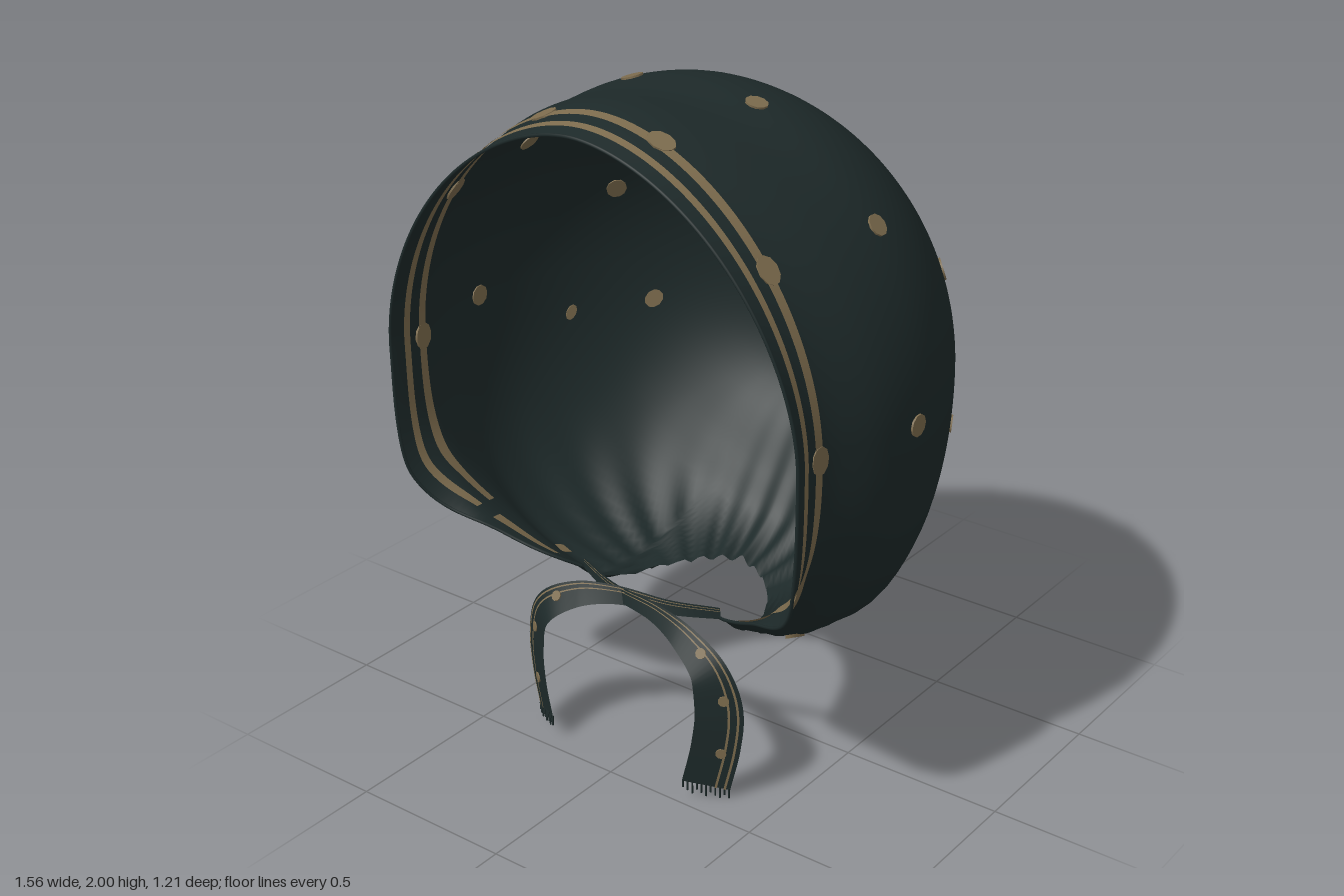
import * as THREE from 'three';

const CY = 1.2, BACK = -0.605, DEG = Math.PI / 180;

// Smooth curve through [position, value] pairs
function curve(pts) {
  const slope = i => {
    const a = pts[Math.max(0, i - 1)], b = pts[Math.min(pts.length - 1, i + 1)];
    return (b[1] - a[1]) / (b[0] - a[0]);
  };
  return v => {
    if (v <= pts[0][0]) return pts[0][1];
    if (v >= pts[pts.length - 1][0]) return pts[pts.length - 1][1];
    let i = 0;
    while (v > pts[i + 1][0]) i++;
    const h = pts[i + 1][0] - pts[i][0], t = (v - pts[i][0]) / h, s = t * t * (3 - 2 * t);
    return pts[i][1] * (1 - s) + pts[i + 1][1] * s
      + h * (slope(i) * t * (1 - t) ** 2 - slope(i + 1) * t * t * (1 - t));
  };
}

// Cross-section sizes along z, relative to a rounded back
const topSize = curve([[-0.6, 0.8], [-0.1, 0.81], [0.05, 0.8], [0.2, 0.783], [0.4, 0.8], [0.5, 0.787], [0.6, 0.757]]);
const sideSize = curve([[-0.6, 0.77], [0, 0.78], [0.2, 0.772], [0.3, 0.753], [0.4, 0.712], [0.46, 0.692], [0.54, 0.692], [0.6, 0.708]]);
const bottomSize = curve([[-0.6, 0.95], [-0.55, 0.84], [-0.46, 0.77], [-0.36, 0.81], [-0.28, 0.85], [-0.08, 0.84], [0.1, 0.81], [0.2, 0.79], [0.32, 0.7], [0.45, 0.67], [0.57, 0.75]]);
const squareness = curve([[-0.5, 2], [-0.2, 2.3], [0.1, 2.7], [0.45, 2.6], [0.57, 3.5]]);
// z of the cloth edge by angle from straight down: neck hole, sloped cheek, face opening
const edgeZ = curve([[0, -0.15], [8, -0.1], [14, 0], [18, 0.15], [20.5, 0.31], [40, 0.45], [58, 0.562], [66, 0.582], [90, 0.588], [180, 0.605]]);
const edge = a => edgeZ(Math.abs(a) / DEG);

// Point on the bonnet cloth; a = angle from straight down around the z axis
function surface(a, z) {
  const base = Math.sqrt(Math.max(0, 1 - ((Math.min(z, 0.17) - 0.17) / 0.775) ** 2));
  const s = Math.abs(Math.sin(a)), c = Math.cos(a), low = c > 0;
  const p = low ? squareness(z) : 2 - 0.5 * Math.max(0, z - 0.2);
  const h = low ? bottomSize(z) : topSize(z);
  let r = base * ((s / sideSize(z)) ** p + (Math.abs(c) / h) ** p) ** (-1 / p);
  // gathers fanning out from the neck hole
  const reach = low ? Math.max(0, 1 - Math.hypot(z - 0.08, 0.77 * s) / 0.7) : 0;
  r *= 1 + 0.018 * reach * Math.cos(22 * Math.atan2(z - 0.08, 0.77 * s));
  return new THREE.Vector3(r * Math.sin(a), CY - r * c, z);
}

function normalAt(a, z) {
  const da = surface(a + 0.02, z).sub(surface(a - 0.02, z));
  const dz = surface(a, z + 0.01).sub(surface(a, z - 0.01));
  return da.cross(dz).normalize();
}

// Open sheet from rows of points
function sheet(rows) {
  const n = rows[0].length, index = [];
  for (let i = 0; i < rows.length - 1; i++)
    for (let j = 0; j < n - 1; j++) {
      const k = i * n + j;
      index.push(k, k + n, k + 1, k + 1, k + n, k + n + 1);
    }
  const g = new THREE.BufferGeometry().setFromPoints(rows.flat());
  g.setIndex(index);
  g.computeVertexNormals();
  return g;
}

function shellGeometry() {
  const N = 240, M = 50, pts = [], index = [];
  for (let i = 0; i < M; i++)
    for (let j = 0; j < N; j++) {
      const u = 2 * j / N - 1, a = Math.sign(u) * Math.PI * Math.abs(u) ** 1.3, e = edge(a);
      pts.push(surface(a, e + (BACK - e) * Math.sin(i / M * Math.PI / 2)));
    }
  const pole = pts.push(new THREE.Vector3(0, CY, BACK)) - 1;
  for (let i = 0; i < M; i++)
    for (let j = 0; j < N; j++) {
      const a = i * N + j, b = i * N + (j + 1) % N;
      if (i === M - 1) index.push(a, b, pole);
      else index.push(a, b, a + N, b, b + N, a + N);
    }
  const g = new THREE.BufferGeometry().setFromPoints(pts);
  g.setIndex(index);
  g.computeVertexNormals();
  return g;
}

export function createModel() {
  const model = new THREE.Group();
  const cloth = new THREE.MeshStandardMaterial({ color: 0x1d2929, side: THREE.DoubleSide });
  cloth.name = 'dark green cloth';
  const tan = new THREE.MeshStandardMaterial({ color: 0x7c6b4d, side: THREE.DoubleSide });
  tan.name = 'tan print';
  const add = (name, geo, mat, parent = model) => {
    const m = new THREE.Mesh(geo, mat);
    m.name = name;
    parent.add(m);
    return m;
  };

  add('bonnetShell', shellGeometry(), cloth);

  // hem around the face opening
  const start = 20.5 * DEG, hem = [];
  for (let i = 0; i <= 90; i++) {
    const b = start + (2 * Math.PI - 2 * start) * i / 90, a = b > Math.PI ? b - 2 * Math.PI : b;
    hem.push(surface(a, edge(a)));
  }
  add('hem', new THREE.TubeGeometry(new THREE.CatmullRomCurve3(hem), 180, 0.005, 6), cloth);

  // printed stripes [name, from angle, to angle, inset from edge, width], mirrored, on both cloth faces
  const stripes = [['frontStripe', 46, 180, 0.04, 0.021], ['rearStripe', 46, 180, 0.096, 0.028],
    ['cheekStreak', 27, 42, 0.035, 0.034]];
  for (const [name, from, to, inset, width] of stripes)
    for (const side of [1, -1])
      for (const off of [0.004, -0.004]) {
        const rows = [];
        for (let i = 0; i <= 90; i++) {
          const a = side * (from + (to - from) * i / 90) * DEG;
          rows.push([inset, inset + width].map(d => {
            const z = edge(a) - d;
            return surface(a, z).addScaledVector(normalAt(a, z), off);
          }));
        }
        add(name, sheet(rows), tan);
      }

  // printed dots [x, y, z, scale around, scale along], mirrored; visible on both cloth faces
  const dots = [
    [0.25, 1.25, -0.568, 1, 1.25], [0.23, 1.79, -0.325], [0.59, 1.47, -0.28], [0.53, 1.08, -0.39, 1, 0.8],
    [0.21, 1.96, 0.09], [0.6, 1.705, 0.09], [0.77, 1.2, 0.14], [0.7, 1.06, -0.18, 0.8, 0.5],
    [0.2, 1.97, 0.478, 1.3], [0.55, 1.7, 0.478, 1.3], [0.69, 1.2, 0.472, 1.3], [0.4, 0.52, 0.19, 2, 0.55],
  ];
  const dotGeo = new THREE.CylinderGeometry(0.032, 0.032, 0.0095, 10);
  for (const [x, y, z, around = 1, along = 1] of dots)
    for (const side of [1, -1]) {
      const a = Math.atan2(x * side, CY - y);
      const d = add('dot', dotGeo, tan);
      d.position.copy(surface(a, z));
      d.quaternion.setFromUnitVectors(new THREE.Vector3(0, 1, 0), normalAt(a, z));
      d.scale.set(around, 1, along);
    }

  // ties: each starts at one cheek corner, crosses the middle and hangs on the other side
  const path = [[-0.25, 0.525, 0.3], [-0.1, 0.51, 0.345], [0.08, 0.505, 0.375], [0.21, 0.475, 0.405],
    [0.305, 0.41, 0.428], [0.338, 0.3, 0.425], [0.33, 0.18, 0.428], [0.3, 0.04, 0.435]];
  const halfWidth = curve([[0, 0.018], [0.3, 0.026], [0.55, 0.045], [0.7, 0.058], [1, 0.06]]);
  for (const side of [1, -1]) {
    const tie = new THREE.Group();
    tie.name = side > 0 ? 'leftTie' : 'rightTie';
    model.add(tie);
    const line = new THREE.CatmullRomCurve3(path.map(([x, y, z], i) => new THREE.Vector3(
      x * side, y + (side < 0 && i > 6 ? 0.025 : 0), z + (i > 0 && i < 4 ? 0.008 * side : 0))));
    // point on the ribbon: t along, u across (-1..1), off above the face
    const at = (t, u, off = 0) => {
      const dir = line.getTangent(t);
      const w = new THREE.Vector3(-dir.y, dir.x, 0).normalize();
      w.z = -0.62 * side * Math.min(1, t / 0.4);
      const n = dir.clone().cross(w).normalize();
      return line.getPoint(t).addScaledVector(w, u * halfWidth(t)).addScaledVector(n, off);
    };
    const strip = (u0, u1, off) => {
      const rows = [];
      for (let i = 0; i <= 50; i++) rows.push([at(i / 50, u0, off), at(i / 50, u1, off)]);
      return sheet(rows);
    };
    add('ribbon', strip(-1, 1, 0), cloth, tie);
    for (const off of [0.003, -0.003])
      for (const u of [0.35, 0.72]) add('ribbonStripe', strip(u * side, (u + 0.1) * side, off), tan, tie);
    for (const t of [0.5, 0.68, 0.88]) {
      const d = add('ribbonDot', dotGeo, tan, tie);
      d.position.copy(at(t, 0.25 * side));
      d.quaternion.setFromUnitVectors(new THREE.Vector3(0, 1, 0),
        at(t, 0, 1).sub(at(t, 0, 0)).normalize());
      d.scale.set(0.5, 0.8, 0.5);
    }
    // frayed end
    for (let i = 0; i < 11; i++) {
      const len = 0.024 + 0.008 * (i % 3);
      const f = add('fringe', new THREE.BoxGeometry(0.004, len, 0.004), cloth, tie);
      f.position.copy(at(1, -0.95 + 0.19 * i));
      f.position.y = Math.max(f.position.y - len / 2 + 0.004, len / 2);
    }
  }
  return model;
}
